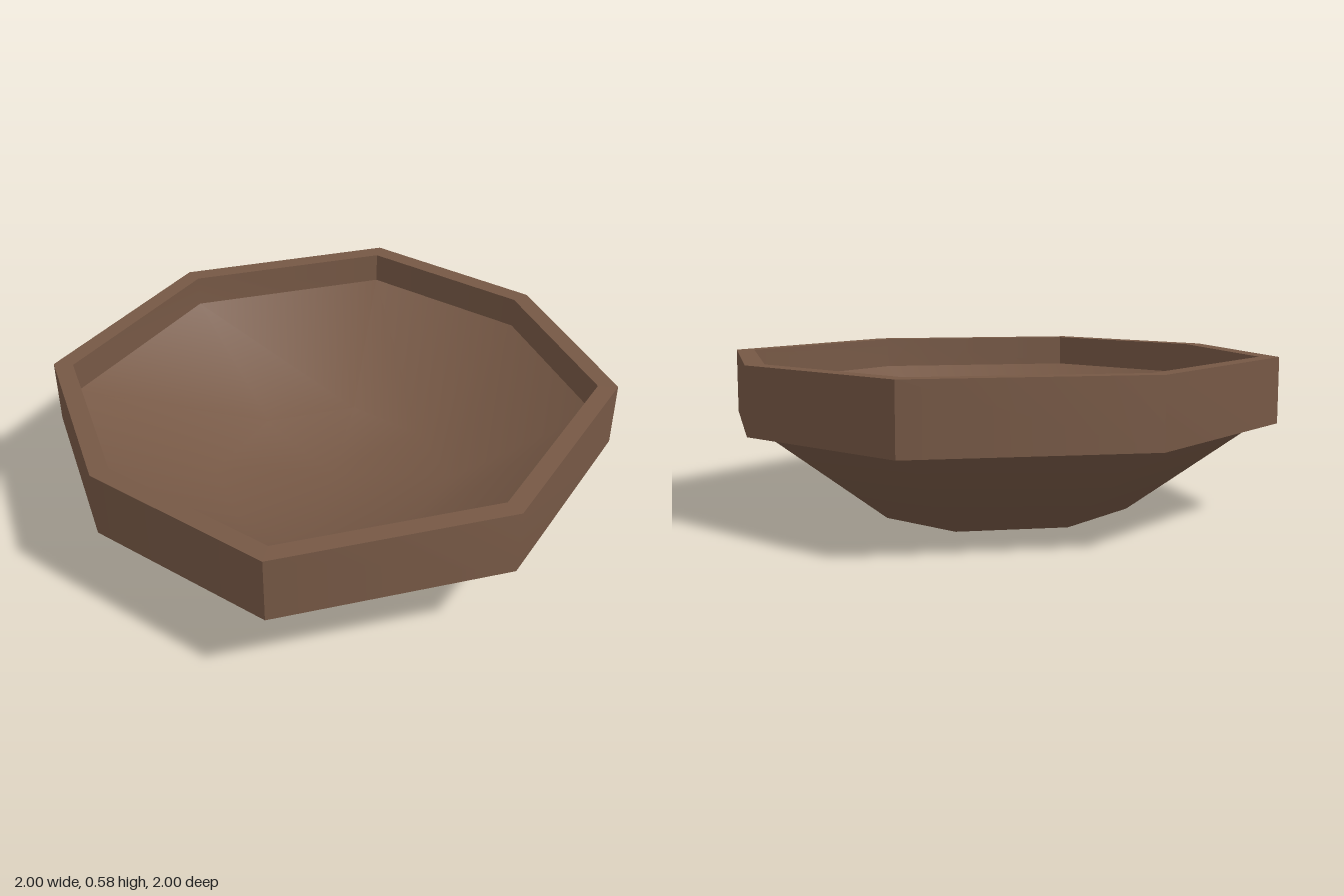
import * as THREE from 'three';
import { toCreasedNormals } from 'three/addons/utils/BufferGeometryUtils.js';

// Eight-sided outline in x, z, scaled by each profile radius
const OUTLINE = [
  [1, 0], [0.69, 0.785], [0, 1], [-0.69, 0.785],
  [-1, 0], [-0.69, -0.785], [0, -1], [0.69, -0.785],
];

// Sweeps a [radius, height] profile around the outline
function sweep(profile) {
  const positions = [];
  const point = ([r, y], j) => {
    const [x, z] = OUTLINE[j % OUTLINE.length];
    return [x * r, y, z * r];
  };
  for (let i = 0; i < profile.length - 1; i++) {
    const low = profile[i], high = profile[i + 1];
    for (let j = 0; j < OUTLINE.length; j++) {
      const a = point(low, j), b = point(low, j + 1);
      const c = point(high, j + 1), d = point(high, j);
      if (high[0] > 0) positions.push(...a, ...d, ...c);
      if (low[0] > 0) positions.push(...a, ...c, ...b);
    }
  }
  const geometry = new THREE.BufferGeometry();
  geometry.setAttribute('position', new THREE.Float32BufferAttribute(positions, 3));
  return toCreasedNormals(geometry, 0.82);
}

export function createModel() {
  const model = new THREE.Group();
  model.name = 'bowl';
  const wood = new THREE.MeshStandardMaterial({ name: 'brown wood', color: 0x765845 });

  const parts = {
    // Foot and sloping outside
    bowlOutside: [[0, 0], [0.475, 0], [0.93, 0.34]],
    // Thick upright band with its inner wall
    rim: [[0.93, 0.34], [1, 0.34], [1, 0.585], [0.93, 0.585], [0.93, 0.465]],
    // Hollow inside
    bowlInside: [[0.93, 0.465], [0.44, 0.13], [0, 0.13]],
  };
  for (const [name, profile] of Object.entries(parts)) {
    const mesh = new THREE.Mesh(sweep(profile), wood);
    mesh.name = name;
    model.add(mesh);
  }
  return model;
}
